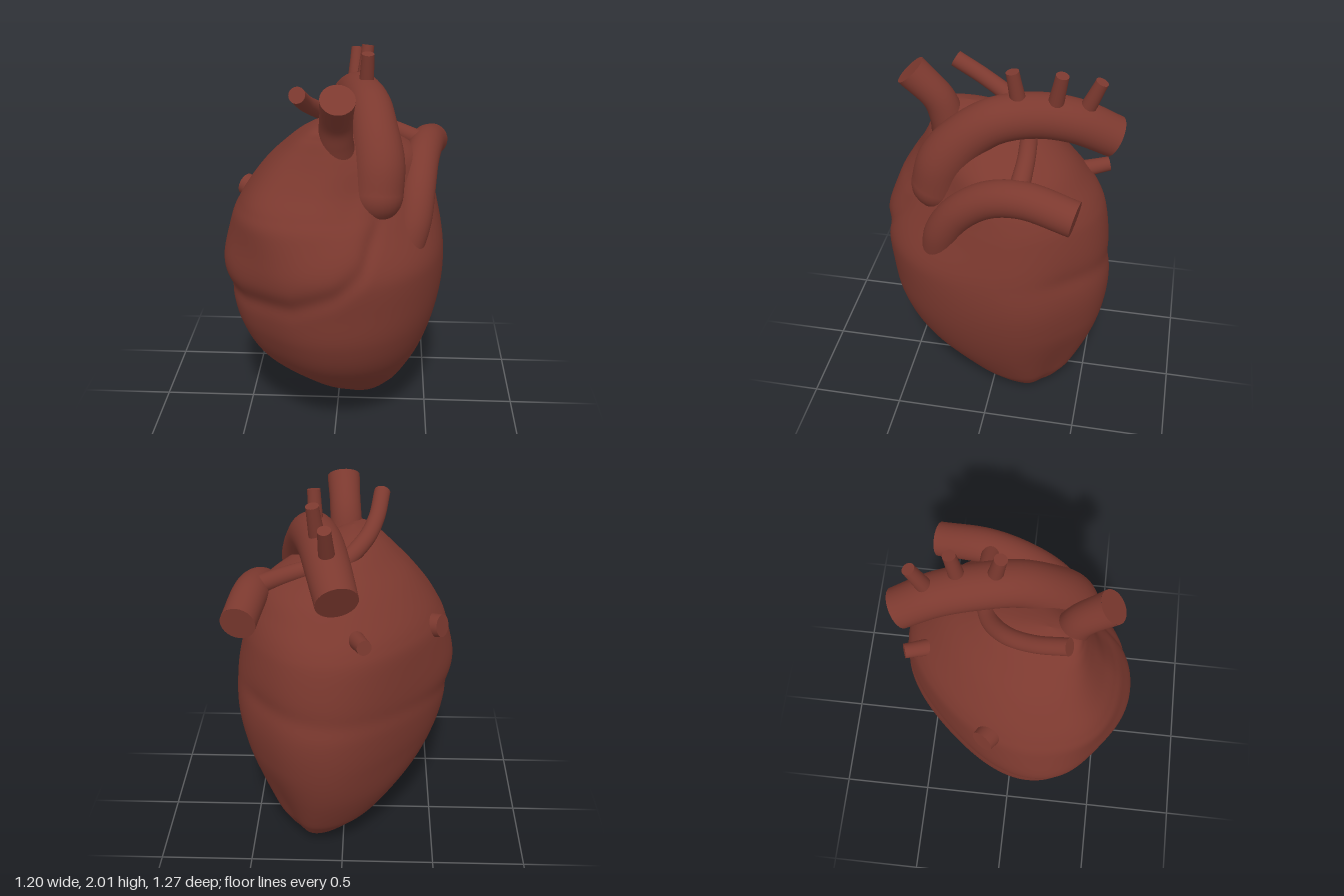
import * as THREE from 'three';

const V = (x, y, z) => new THREE.Vector3(x, y, z);
const smooth = (a, b, x) => THREE.MathUtils.smoothstep(x, a, b);

// Smooth interpolation through rows of numbers, t measured in row index
function sample(rows, t) {
  const i = Math.min(Math.floor(t), rows.length - 2), f = t - i;
  const a = rows[Math.max(i - 1, 0)], b = rows[i], c = rows[i + 1], d = rows[Math.min(i + 2, rows.length - 1)];
  return b.map((p, k) => {
    const m0 = (c[k] - a[k]) / 2, m1 = (d[k] - p) / 2, q = c[k] - p;
    return p + f * (m0 + f * (3 * q - 2 * m0 - m1 + f * (m0 + m1 - 2 * q)));
  });
}

// Linear lookup in [key, value] pairs
function lookup(keys, x) {
  for (let i = 1; i < keys.length; i++) {
    const [x0, y0] = keys[i - 1], [x1, y1] = keys[i];
    if (x <= x1) return THREE.MathUtils.lerp(y0, y1, (x - x0) / (x1 - x0));
  }
  return keys[keys.length - 1][1];
}

// Cross-sections: y, xMin, xMax, zMin, zMax
const LEVELS = [
  [0, 0.14, 0.14, -0.17, -0.17],
  [0.012, 0.06, 0.215, -0.25, -0.08],
  [0.05, -0.02, 0.275, -0.33, 0],
  [0.12, -0.13, 0.335, -0.395, 0.11],
  [0.2, -0.24, 0.385, -0.45, 0.23],
  [0.4, -0.425, 0.475, -0.54, 0.46],
  [0.6, -0.525, 0.54, -0.595, 0.57],
  [0.8, -0.568, 0.575, -0.615, 0.605],
  [1.0, -0.588, 0.572, -0.595, 0.62],
  [1.2, -0.552, 0.535, -0.575, 0.575],
  [1.3, -0.507, 0.51, -0.54, 0.525],
  [1.4, -0.442, 0.475, -0.47, 0.462],
  [1.5, -0.362, 0.42, -0.385, 0.41],
  [1.58, -0.28, 0.3, -0.28, 0.375],
  [1.65, -0.2, 0.15, -0.15, 0.345],
  [1.7, -0.12, 0.03, 0.02, 0.305],
  [1.72, -0.04, -0.04, 0.17, 0.17],
];

// Height of the groove between upper and lower chambers, by angle from +x toward +z
const GROOVE = [[0, 1.2], [52, 1.28], [62, 1.17], [70, 1.05], [84, 0.94], [108, 0.85], [150, 0.82],
  [185, 0.85], [250, 0.92], [300, 0.97], [360, 1.0]];

function bodyGeometry() {
  const rows = 150, segs = 144, pos = [], index = [];
  for (let i = 0; i <= rows; i++) {
    const [y, x0, x1, z0, z1] = sample(LEVELS, i / rows * (LEVELS.length - 1));
    const cx = (x0 + x1) / 2, cz = (z0 + z1) / 2, hx = (x1 - x0) / 2, hz = (z1 - z0) / 2;
    const up = smooth(0.95, 1.4, y), low = 1 - smooth(0.1, 0.6, y);
    for (let j = 0; j < segs; j++) {
      const a = j / segs * Math.PI * 2, c = Math.cos(a), s = Math.sin(a);
      // Skewed oval: the widest points lie off the axes
      const dx = c * hx + s * s * hx * (s > 0 ? -0.07 - 0.17 * up : 0.18);
      const dz = s * hz + c * c * hz * (c > 0 ? -0.15 : 0.22);
      // Fullness of each quarter: front left, front right, back left, back right
      const bulge = s > 0 ? (c > 0 ? 0.05 - 0.13 * up : -0.09 + 0.1 * up + 0.02 * low)
        : (c > 0 ? -0.08 + 0.03 * up - 0.07 * low : -0.07 + 0.07 * up + 0.1 * low);
      let k = 1 + bulge * Math.sin(2 * a) ** 2;
      const deg = a * 180 / Math.PI, d = y - lookup(GROOVE, deg);
      const amp = smooth(42, 62, deg) * (1 - 0.55 * smooth(150, 220, deg)) * (1 - 0.8 * smooth(315, 345, deg));
      k += amp * (0.023 * Math.exp(-(((d - 0.12) / 0.12) ** 2)) - 0.025 * Math.exp(-(((d + 0.01) / 0.055) ** 2)));
      pos.push(cx + dx * k, y, cz + dz * k);
      if (i < rows) {
        const p = i * segs + j, q = i * segs + (j + 1) % segs;
        index.push(p, p + segs, q, q, p + segs, q + segs);
      }
    }
  }
  const g = new THREE.BufferGeometry();
  g.setAttribute('position', new THREE.Float32BufferAttribute(pos, 3));
  g.setIndex(index);
  g.computeVertexNormals();
  return g;
}

export function createModel() {
  const group = new THREE.Group();
  const muscle = new THREE.MeshStandardMaterial({ color: 0x7c392f });
  muscle.name = 'muscle red';

  const add = (name, geometry, parent = group) => {
    const m = new THREE.Mesh(geometry, muscle);
    m.name = name;
    parent.add(m);
    return m;
  };

  // Vessel: tube through points with changing radius, a flat cap at the end, a round root
  const vessel = (name, points, radii) => {
    const part = new THREE.Group();
    part.name = name;
    group.add(part);
    const curve = new THREE.CatmullRomCurve3(points.map(p => V(...p)));
    const n = points.length > 2 ? 48 : 6, sides = 28;
    const g = new THREE.TubeGeometry(curve, n, 1, sides);
    const pos = g.attributes.position, v = V(), rad = radii.map(r => [r]);
    for (let i = 0; i <= n; i++) {
      const centre = curve.getPointAt(i / n), r = sample(rad, i / n * (radii.length - 1))[0];
      for (let j = 0; j <= sides; j++) {
        const k = i * (sides + 1) + j;
        v.fromBufferAttribute(pos, k).sub(centre).multiplyScalar(r).add(centre);
        pos.setXYZ(k, v.x, v.y, v.z);
      }
    }
    add(name + 'Wall', g, part);
    const cap = add(name + 'Cap', new THREE.CircleGeometry(radii[radii.length - 1], sides), part);
    cap.position.copy(curve.getPointAt(1));
    cap.quaternion.setFromUnitVectors(V(0, 0, 1), curve.getTangentAt(1));
    const root = add(name + 'Root', new THREE.SphereGeometry(radii[0], 24, 16), part);
    root.position.copy(curve.getPointAt(0));
  };

  add('heartBody', bodyGeometry());

  // Great arch with its three branches
  vessel('archArtery', [[0.21, 1.36, 0.29], [0.215, 1.5, 0.25], [0.195, 1.63, 0.15], [0.165, 1.73, 0],
    [0.115, 1.755, -0.2], [0.07, 1.715, -0.4], [0.02, 1.62, -0.585]], [0.135, 0.135, 0.122, 0.117, 0.115, 0.112, 0.107]);
  vessel('archBranchFront', [[0.14, 1.78, -0.125], [0.15, 2.0, -0.085]], [0.042, 0.033]);
  vessel('archBranchMiddle', [[0.12, 1.78, -0.285], [0.145, 2.0, -0.325]], [0.042, 0.033]);
  vessel('archBranchBack', [[0.07, 1.76, -0.43], [0.08, 1.95, -0.51]], [0.042, 0.033]);

  // Side artery sweeping over the left shoulder
  vessel('sideArtery', [[0.36, 1.04, 0.26], [0.4, 1.2, 0.22], [0.42, 1.34, 0.13], [0.44, 1.45, -0.02],
    [0.47, 1.49, -0.2], [0.51, 1.44, -0.455]], [0.09, 0.095, 0.093, 0.093, 0.092, 0.09]);

  // Upright vein at the front
  vessel('uprightVein', [[0.0, 1.5, 0.24], [0.0, 1.64, 0.28], [0.005, 1.74, 0.32], [0.02, 1.89, 0.455]],
    [0.12, 0.09, 0.083, 0.087]);

  // Thin vein passing below the arch to the side artery
  vessel('thinVein', [[0.43, 1.52, -0.17], [0.22, 1.6, -0.175], [0.02, 1.63, -0.14], [-0.1, 1.71, -0.04],
    [-0.16, 1.78, 0.1], [-0.19, 1.865, 0.27]], [0.05, 0.045, 0.045, 0.045, 0.043, 0.043]);

  // Short stubs at the back
  vessel('rearStubLarge', [[-0.4, 1.24, -0.04], [-0.515, 1.27, -0.115]], [0.07, 0.06]);
  vessel('rearStubSmall', [[-0.06, 1.35, -0.42], [-0.11, 1.37, -0.56]], [0.045, 0.038]);

  return group;
}
